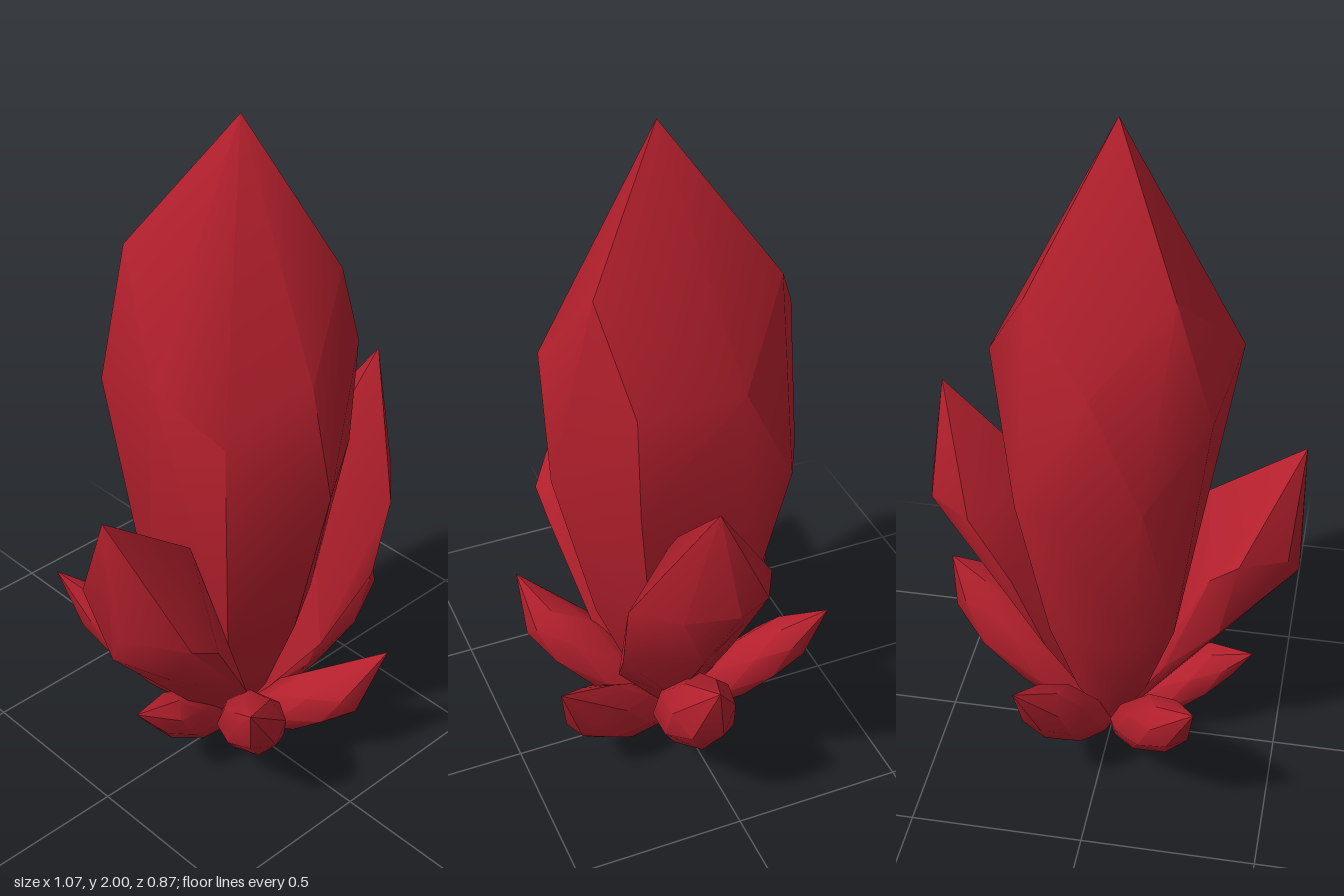
import * as THREE from 'three';
import { toCreasedNormals } from 'three/addons/utils/BufferGeometryUtils.js';
import { ConvexGeometry } from 'three/addons/geometries/ConvexGeometry.js';

const crystalRed = new THREE.MeshStandardMaterial({ color: 0xb4202d });
const V = (p) => new THREE.Vector3(...p);

// Faceted gem wrapped around its corner points; shallow edges are softened
function crystal(name, points) {
  const geometry = toCreasedNormals(new ConvexGeometry(points), 0.75);
  const mesh = new THREE.Mesh(geometry, crystalRed);
  mesh.name = name;
  return mesh;
}

// Small shard growing from the origin: rings around its axis and a skewed tip
function shard(name, tip, centre, radius) {
  const c = V(centre);
  const axis = c.clone().normalize();
  const side = new THREE.Vector3().crossVectors(axis, new THREE.Vector3(0, 1, 0)).normalize();
  const up = new THREE.Vector3().crossVectors(side, axis);
  const points = [new THREE.Vector3(), V(tip)];
  const rings = [[0.26, 0.52, 0.5], [0.58, 0.9, 0], [0.95, 1, 0.5], [1.22, 0.78, 0]];
  for (const [along, width, turn] of rings) {
    for (let i = 0; i < 6; i++) {
      const a = ((i + turn) / 6) * Math.PI * 2;
      points.push(c.clone().multiplyScalar(along)
        .addScaledVector(side, Math.cos(a) * radius * width)
        .addScaledVector(up, Math.sin(a) * radius * width));
    }
  }
  return crystal(name, points);
}

export function createModel() {
  const group = new THREE.Group();
  group.name = 'crystalCluster';

  // Tall central crystal: tip, staggered shoulder, girdle and narrowing root
  const shoulder = [
    [0.32, 1.36, -0.07], [0.13, 1.61, 0.27], [-0.06, 1.37, 0.36], [-0.35, 1.36, 0.07],
    [-0.2, 1.62, -0.2], [0, 1.4, -0.345], [0.185, 1.61, -0.225],
  ];
  const girdle = [
    [0.27, 1.32, 0.21], [0.26, 1.0, 0.2], [0.015, 1.0, 0.365], [-0.27, 1.23, 0.26],
    [-0.3, 1.26, -0.19], [-0.14, 1.05, -0.325], [0.1, 1.0, -0.325], [0.22, 0.99, -0.26],
  ];
  // Root rings shrink the girdle outline toward the base
  const root = [[0.5, 0.68], [0.22, 0.38]].flatMap(([y, s]) =>
    girdle.map(([x, , z]) => [x * s, y, z * s]));
  group.add(crystal('centralCrystal',
    [[-0.01, 2, 0.04], ...shoulder, ...girdle, ...root, [0, 0, 0]].map(V)));

  // Two medium crystals leaning out to the sides
  group.add(crystal('leftCrystal', [
    [0.5, 1.15, 0.08], [0.535, 0.82, 0.03], [0.51, 0.84, -0.06], [0.39, 0.82, -0.125],
    [0.48, 0.8, 0.17], [0.36, 0.78, 0.28], [0.22, 0.87, 0.09], [0.27, 0.62, -0.13],
    [0.3, 0.55, 0.275], [0.41, 0.57, 0.08], [0.25, 0.31, 0.1], [0.18, 0.37, -0.105],
    [0.14, 0.35, 0.23], [0, 0, 0],
  ].map(V)));
  group.add(crystal('rightCrystal', [
    [-0.535, 1.04, 0.08], [-0.535, 0.6, 0.1], [-0.51, 0.74, -0.05], [-0.38, 0.76, -0.13],
    [-0.3, 0.7, -0.125], [-0.535, 0.68, 0.13], [-0.41, 0.66, 0.28], [-0.31, 0.6, 0.275],
    [-0.26, 0.84, 0.11], [-0.33, 0.5, -0.11], [-0.43, 0.54, 0.22], [-0.25, 0.27, 0.08],
    [-0.17, 0.32, -0.08], [-0.14, 0.32, 0.21], [0, 0, 0],
  ].map(V)));

  // Ring of small shards at the base
  const shards = [
    ['leftShard', [0.5, 0.53, 0.07], [0.35, 0.34, 0.07], 0.115],
    ['rightShard', [-0.42, 0.3, 0.05], [-0.265, 0.21, 0.05], 0.075],
    ['frontLeftShard', [0.21, 0.4, 0.43], [0.12, 0.205, 0.285], 0.088],
    ['frontRightShard', [-0.3, 0.44, 0.39], [-0.175, 0.27, 0.28], 0.094],
    ['backRightShard', [-0.305, 0.48, -0.44], [-0.19, 0.29, -0.285], 0.086],
    ['backLeftShard', [0.21, 0.44, -0.405], [0.125, 0.265, -0.26], 0.085],
  ];
  for (const s of shards) group.add(shard(...s));

  return group;
}
